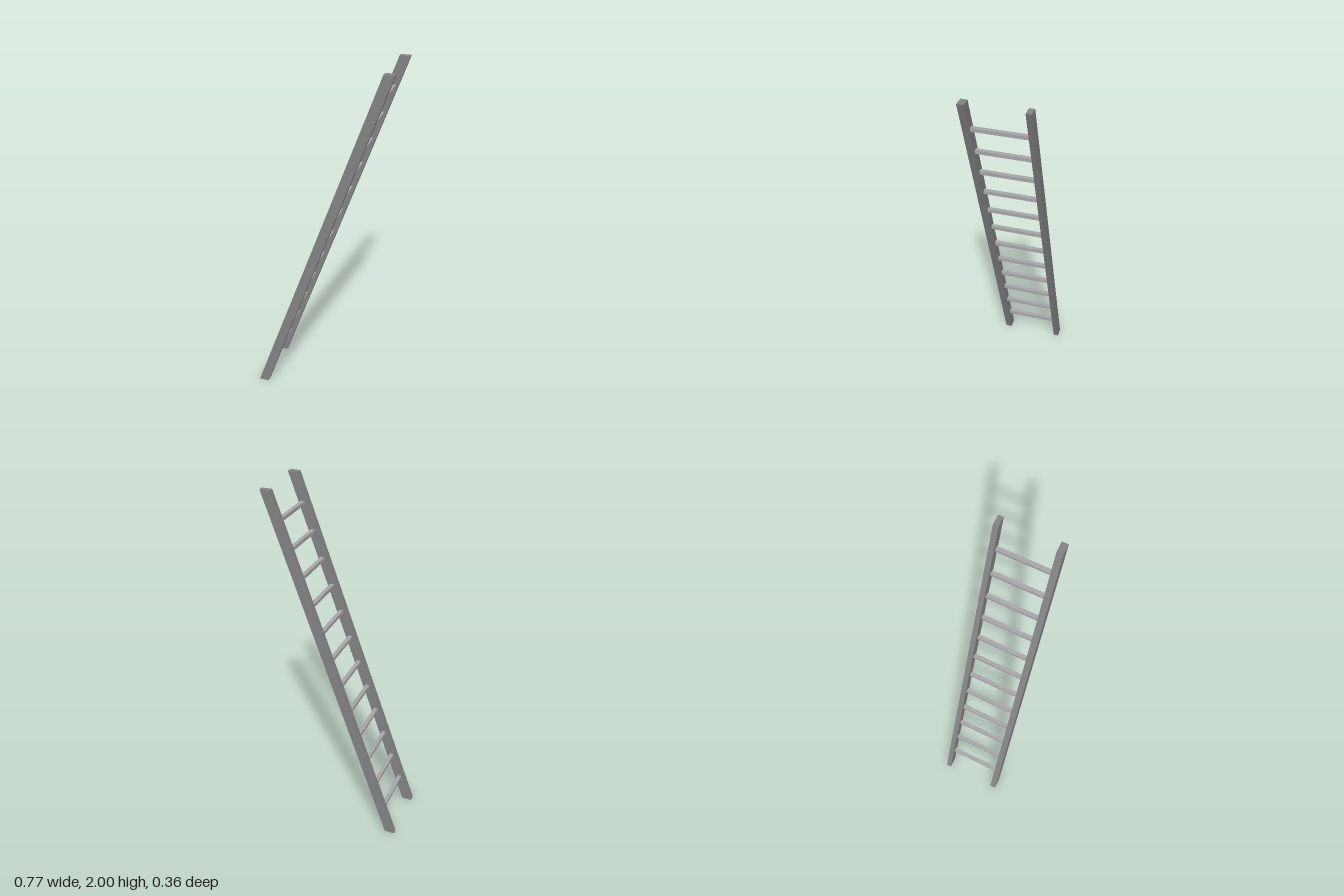
import * as THREE from 'three';

export function createModel() {
  const group = new THREE.Group();
  const railMaterial = new THREE.MeshStandardMaterial({ color: 0x838383 });
  const rungMaterial = new THREE.MeshStandardMaterial({ color: 0xa7a7a7 });

  // Leaning side rails, cut level at the top and the foot
  const profile = new THREE.Shape([
    new THREE.Vector2(-0.385, 0),
    new THREE.Vector2(-0.328, 0),
    new THREE.Vector2(0.385, 2),
    new THREE.Vector2(0.328, 2),
  ]);
  const addRail = (name, zMin, zMax) => {
    const geometry = new THREE.ExtrudeGeometry(profile, { depth: zMax - zMin, bevelEnabled: false });
    const rail = new THREE.Mesh(geometry, railMaterial);
    rail.name = name;
    rail.position.z = zMin;
    group.add(rail);
  };
  addRail('frontRail', 0.143, 0.178);
  addRail('backRail', -0.178, -0.149);

  // Evenly spaced square-edged rungs between the rails
  const rungCount = 12;
  const rungGeometry = new THREE.BoxGeometry(0.023, 0.019, 0.3);
  for (let i = 0; i < rungCount; i++) {
    const t = i / (rungCount - 1);
    const rung = new THREE.Mesh(rungGeometry, rungMaterial);
    rung.name = `rung${i + 1}`;
    rung.position.set(
      THREE.MathUtils.lerp(-0.303, 0.303, t),
      THREE.MathUtils.lerp(0.16, 1.836, t),
      -0.003
    );
    group.add(rung);
  }
  return group;
}
